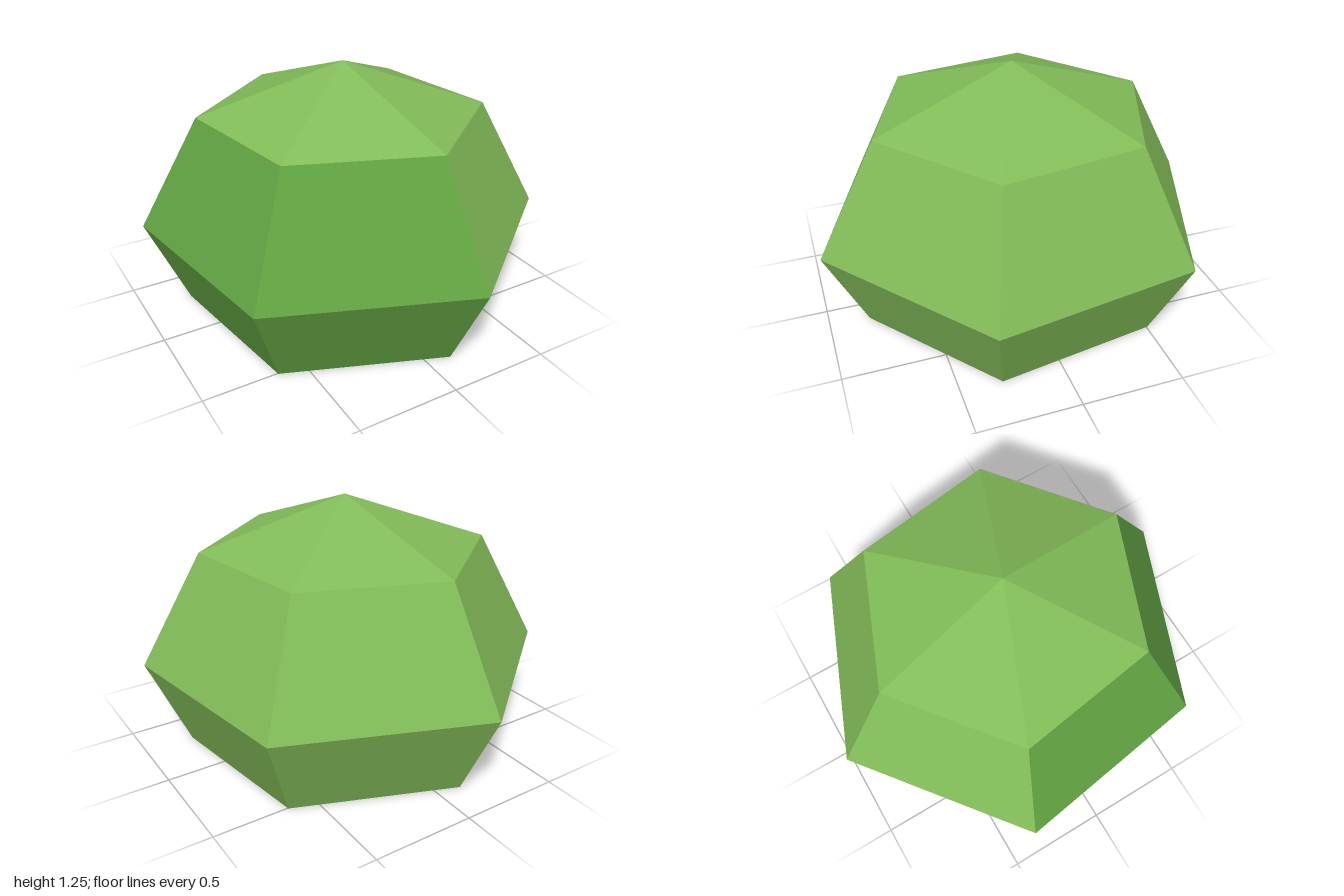
import * as THREE from 'three';

export function createModel() {
  const model = new THREE.Group();
  model.name = 'hexagonalBush';

  const leaf = new THREE.MeshStandardMaterial({ color: 0x82bc58 });
  leaf.name = 'leaf green';
  const deepLeaf = new THREE.MeshStandardMaterial({ color: 0x62a443 });
  deepLeaf.name = 'deep leaf green';

  const twist = THREE.MathUtils.degToRad(8.5);

  // One six-sided faceted band between two heights; a zero radius closes it to a point
  function band(name, y0, r0, y1, r1, twoTone = false) {
    const shape = new THREE.CylinderGeometry(r1, r0, y1 - y0, 6, 1, true, twist);
    const geometry = shape.toNonIndexed();
    geometry.computeVertexNormals();
    geometry.translate(0, (y0 + y1) / 2, 0);
    geometry.clearGroups();
    if (twoTone) {
      // The last two sides carry the deeper green
      geometry.addGroup(0, 24, 0);
      geometry.addGroup(24, 12, 1);
    }
    const mesh = new THREE.Mesh(geometry, twoTone ? [leaf, deepLeaf] : leaf);
    mesh.name = name;
    model.add(mesh);
  }

  band('underside', 0, 0, 0, 0.809);
  band('lowerSides', 0, 0.809, 0.437, 1.011, true);
  band('upperSides', 0.437, 1.011, 1, 0.708, true);
  band('crown', 1, 0.708, 1.25, 0);

  return model;
}
